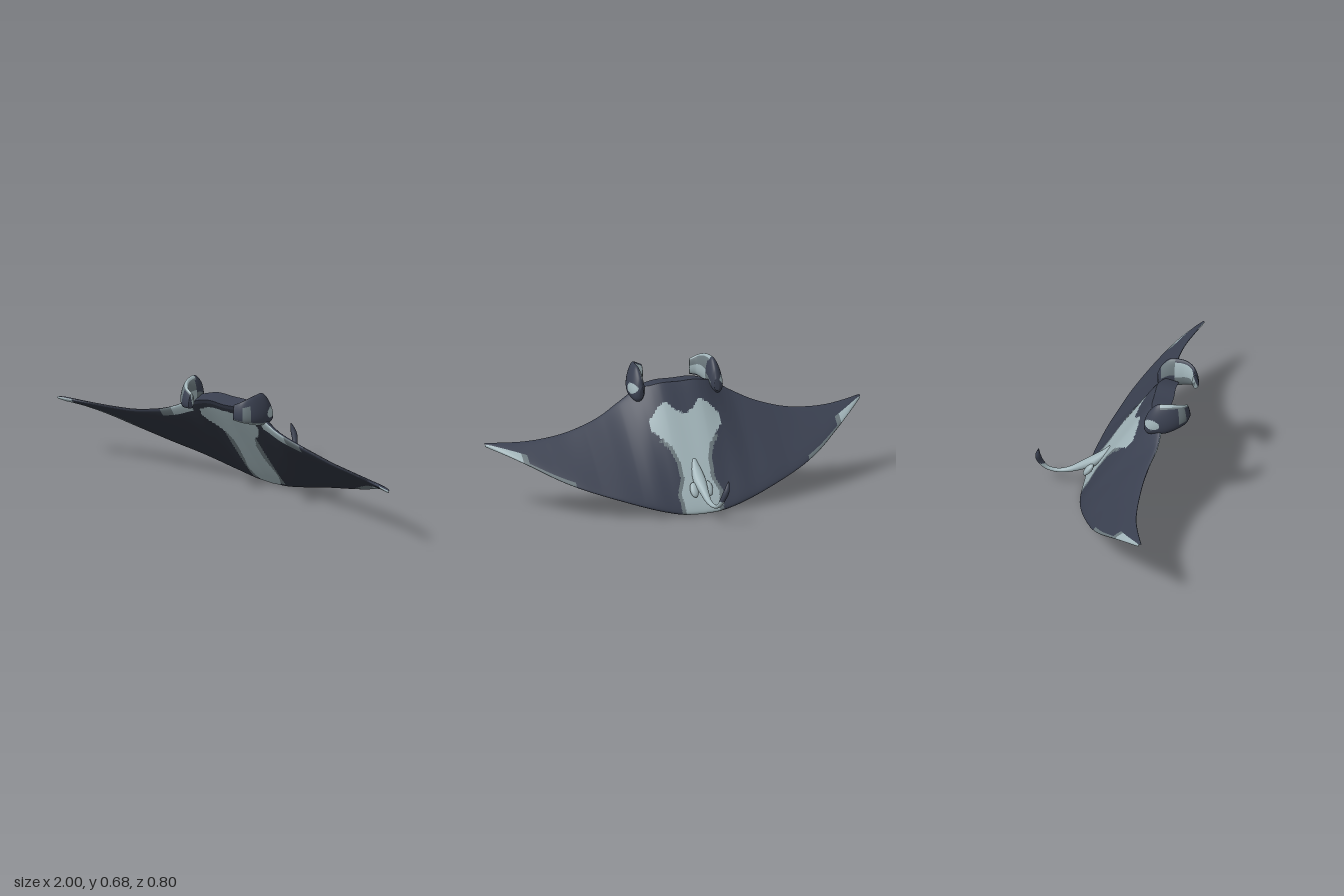
import * as THREE from 'three';

const mat = (name, color) => Object.assign(new THREE.MeshStandardMaterial({ color }), { name });
const V = (x, y, z) => new THREE.Vector3(x, y, z);
const { clamp, lerp, smoothstep } = THREE.MathUtils;
const DARK = 0, BELLY = 1, PALE = 2, GREY = 3;

// uniform spline through evenly parameterised points
const spline = (pts) => new THREE.CatmullRomCurve3(pts.map((p) => V(p[0], p[1], p[2] || 0)), false, 'catmullrom', 0.5);

// piecewise linear lookup in [[key, value], ...], zero past the end
function lookup(table, k) {
  if (k <= table[0][0]) return table[0][1];
  for (let i = 1; i < table.length; i++) {
    const [k0, v0] = table[i - 1], [k1, v1] = table[i];
    if (k <= k1) return lerp(v0, v1, (k - k0) / (k1 - k0));
  }
  return 0;
}

// smooth skin over closed rings; colourOf(centre, i, j) picks the material of each face
function skin(name, rings, colourOf, materials) {
  const n = rings[0].length;
  const faces = materials.map(() => []);
  const pts = rings.flat();
  const add = (i, j, a, b, c) => {
    const centre = V(0, 0, 0).add(pts[a]).add(pts[b]).add(pts[c]).divideScalar(3);
    faces[colourOf(centre, i, j)].push(a, b, c);
  };
  for (let i = 0; i < rings.length - 1; i++) {
    for (let j = 0; j < n; j++) {
      const k = (j + 1) % n;
      const a = i * n + j, b = i * n + k, c = a + n, d = b + n;
      add(i, j, a, b, c);
      add(i, j, b, d, c);
    }
  }
  const g = new THREE.BufferGeometry().setFromPoints(pts);
  g.setIndex(faces.flat());
  let start = 0;
  faces.forEach((f, m) => {
    if (f.length) g.addGroup(start, f.length, m);
    start += f.length;
  });
  g.computeVertexNormals();
  const mesh = new THREE.Mesh(g, materials);
  mesh.name = name;
  return mesh;
}

// elliptical rings along a path, closed at both ends; taper thins the upper side and leans the lower side out
function loftRings(path, radii, steps, sides, { upright = false, taper = 0, mirror = 1 } = {}) {
  const rings = [];
  for (let i = 0; i <= steps; i++) {
    const t = i / steps;
    const c = path.getPoint(t), r = radii.getPoint(t), dir = path.getTangent(t);
    if (upright) dir.setY(0).normalize();
    const side = upright ? V(0, 1, 0).cross(dir).normalize() : V(1, 0, 0);
    const up = dir.clone().cross(side).normalize();
    const ring = [];
    for (let j = 0; j < sides; j++) {
      const a = mirror * (j / sides) * Math.PI * 2, s = Math.sin(a);
      const p = c.clone().addScaledVector(side, r.x * (Math.cos(a) * (1 - taper * s) - taper * 0.5 * s))
        .addScaledVector(up, s * r.y);
      p.x *= mirror;
      ring.push(p);
    }
    rings.push(ring);
  }
  const cap = (t) => Array.from({ length: sides }, () => {
    const p = path.getPoint(t);
    p.x *= mirror;
    return p;
  });
  return [cap(0), ...rings, cap(1)];
}

// ---- body and wings -------------------------------------------------------
// leading and trailing edge (y, z) at every tenth of the half span
const leading = spline([[0, 0.592, 0.245], [0.1, 0.592, 0.245], [0.2, 0.56, 0.262], [0.3, 0.5, 0.26],
  [0.4, 0.45, 0.235], [0.5, 0.415, 0.22], [0.6, 0.388, 0.216], [0.7, 0.372, 0.219], [0.8, 0.362, 0.232],
  [0.9, 0.358, 0.258], [1, 0.358, 0.289]]);
const trailing = spline([[0, 0.008, -0.156], [0.1, 0.015, -0.155], [0.2, 0.037, -0.146], [0.3, 0.066, -0.126],
  [0.4, 0.098, -0.098], [0.5, 0.13, -0.062], [0.6, 0.165, -0.022], [0.7, 0.207, 0.032], [0.8, 0.258, 0.1],
  [0.9, 0.306, 0.178], [1, 0.345, 0.275]]);
const thickness = [[0, 0.044], [0.1, 0.042], [0.2, 0.035], [0.3, 0.026], [0.5, 0.017], [0.8, 0.012], [0.97, 0.01], [1, 0.006]];

// patch half widths: belly by height, back by depth
const bellyPatch = [[0, 0.05], [0.05, 0.075], [0.1, 0.088], [0.2, 0.07], [0.3, 0.065], [0.36, 0.085], [0.43, 0.15],
  [0.47, 0.172], [0.51, 0.165], [0.535, 0.11], [0.54, 0]];
const backPatch = [[-0.16, 0.09], [-0.12, 0.1], [-0.08, 0.07], [-0.03, 0.075], [0.01, 0.1], [0.05, 0.15],
  [0.08, 0.185], [0.115, 0.185], [0.135, 0.13], [0.14, 0]];

function bodyColour(p, v, top) {
  const x = Math.abs(p.x);
  if (top) {
    const w = lookup(backPatch, p.z);
    if (x < w && p.z < 0.102 + 5 * x * x) return PALE;
    if (p.z < 0.04 && x < w + 0.02) return GREY;
    if (x > 0.82 && v > 0.6) return x < 0.845 ? GREY : PALE;
    return x > 0.62 && v > 0.93 ? GREY : DARK;
  }
  const w = lookup(bellyPatch, p.y);
  if (x < w) return PALE;
  if (x < 0.097 && p.y > 0.03 && p.y < 0.39) return GREY;
  if (x > 0.93) return PALE;
  if (v > 1 - 0.5 * smoothstep(x, 0.5, 0.88)) return x > 0.81 ? PALE : GREY;
  if (v < 0.09 && x > 0.21 && x < 0.42) return x < 0.34 ? PALE : GREY;
  return v < 0.03 ? DARK : BELLY;
}

function makeBody(materials) {
  const N = 300, M = 52, rings = [];
  const chord = Array.from({ length: M + 1 }, (_, k) => (1 - Math.cos(Math.PI * k / M)) / 2);
  for (let i = 0; i <= N; i++) {
    const x = -1 + 2 * i / N, ax = Math.abs(x);
    const le = leading.getPoint(ax), te = trailing.getPoint(ax);
    // one wing tip is lifted a little
    const lift = x < -0.5 ? 0.03 * ((ax - 0.5) / 0.5) ** 1.5 : 0;
    const d = te.clone().sub(le).setX(0).normalize();
    const blunt = 1 - smoothstep(ax, 0.14, 0.25);
    const at = (v, sign) => {
      const wing = Math.pow(Math.max(4 * v * (1 - v), 0), 0.4);
      const head = 1.12 * Math.pow(1 - v, 0.32);
      const f = lerp(wing, head, blunt) * lookup(thickness, ax) * sign;
      // the flat front of the head faces up
      const normal = V(0, -d.z * (1 - 0.85 * blunt * (1 - v) ** 6), d.y).normalize();
      const p = le.clone().lerp(te, v).addScaledVector(normal, f);
      return V(x, Math.max(p.y + lift, 0), p.z);
    };
    rings.push([...chord.slice().reverse().map((v) => at(v, 1)), ...chord.map((v) => at(v, -1))]);
  }
  return skin('bodyAndWings', rings, (p, i, j) => {
    if (j === M) return DARK; // front of the head
    return j < M ? bodyColour(p, chord[M - j], true) : bodyColour(p, chord[clamp(j - M - 1, 0, M)], false);
  }, materials);
}

// ---- curled head fins -----------------------------------------------------
const finPath = spline([[0.2, 0.56, 0.18], [0.205, 0.575, 0.2], [0.208, 0.598, 0.24], [0.206, 0.604, 0.285],
  [0.195, 0.611, 0.33], [0.17, 0.612, 0.367], [0.128, 0.606, 0.382]]);
const finSize = spline([[0.012, 0.03], [0.03, 0.062], [0.036, 0.081], [0.034, 0.081], [0.027, 0.071], [0.021, 0.056], [0.016, 0.04]]);

function makeFin(mirror, materials) {
  const sides = 72, steps = 80;
  const rings = loftRings(finPath, finSize, steps, sides, { upright: true, taper: 0.3, mirror });
  return skin(mirror > 0 ? 'leftHeadFin' : 'rightHeadFin', rings, (p, i, j) => {
    const a = ((j + 0.5) / sides) * Math.PI * 2, out = Math.cos(a), up = Math.sin(a), t = i / steps;
    if (out > 0 && ((p.z - 0.22) / 0.038) ** 2 + ((p.y - 0.58) / 0.026) ** 2 < 1) return PALE; // eye patch
    if (t > 0.4 && up < -0.75) return up < -0.85 ? PALE : GREY; // lower rim
    if (t > 0.45 && out < -0.3 && up < 0.8) return up > -0.2 ? PALE : GREY; // inner face
    if (t > 0.15 && t <= 0.45 && out < -0.3 && up > 0) return GREY;
    if (t > 0.72 && t < 0.84 && out > 0.3 && up < 0.5) return GREY;
    return DARK;
  }, materials);
}

// ---- tail -----------------------------------------------------------------
const tailPath = spline([[0, 0.255, -0.025], [0, 0.205, -0.065], [0, 0.163, -0.11], [0, 0.13, -0.165], [0, 0.098, -0.23],
  [-0.005, 0.088, -0.29], [-0.012, 0.104, -0.343], [-0.022, 0.145, -0.375], [-0.037, 0.19, -0.386], [-0.05, 0.238, -0.381]]);
const tailSize = spline([[0.01, 0.008], [0.026, 0.018], [0.032, 0.026], [0.023, 0.022], [0.015, 0.014], [0.011, 0.01],
  [0.011, 0.01], [0.013, 0.015], [0.015, 0.014], [0.003, 0.002]]);

export function createModel() {
  const materials = [mat('darkSlate', 0x3a4050), mat('bellyDark', 0x2d323d), mat('paleGrey', 0xa2b5ba), mat('midGrey', 0x6b787d)];
  const group = new THREE.Group();
  group.name = 'mantaRay';
  group.add(makeBody(materials));
  for (const s of [1, -1]) {
    group.add(makeFin(s, materials));
    // small fin beside the root of the tail
    const pelvic = new THREE.Mesh(new THREE.SphereGeometry(1, 20, 14), materials[PALE]);
    pelvic.name = s > 0 ? 'leftPelvicFin' : 'rightPelvicFin';
    pelvic.scale.set(0.022, 0.04, 0.016);
    pelvic.position.set(s * 0.038, 0.13, -0.132);
    pelvic.rotation.x = 0.62;
    group.add(pelvic);
  }
  group.add(skin('tail', loftRings(tailPath, tailSize, 72, 20),
    (p) => (p.z < -0.33 && p.y > 0.135 ? DARK : PALE), materials));
  return group;
}
